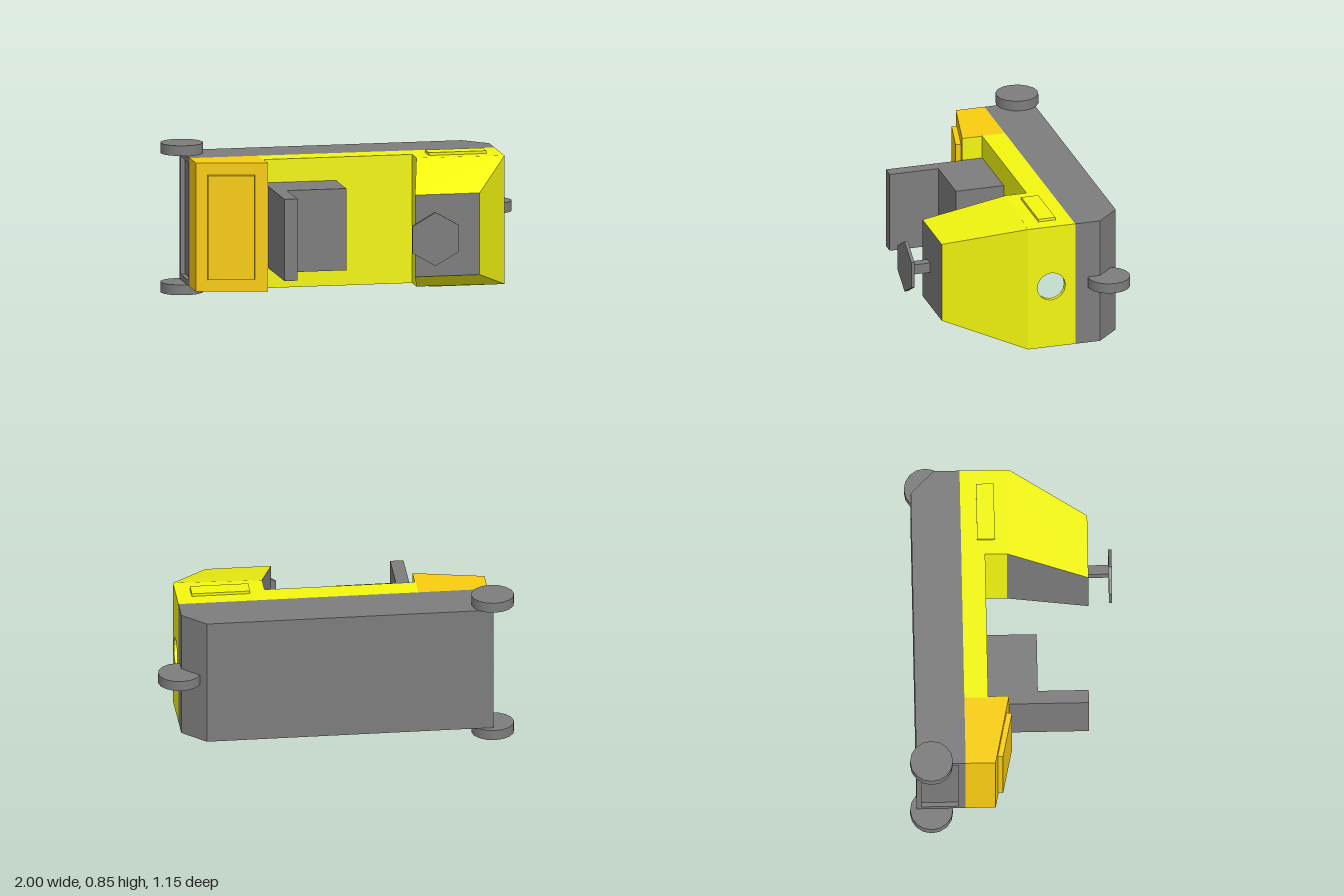
import * as THREE from 'three';

const GREY = 0x7d7d7d, YELLOW = 0xf3f70f, ORANGE = 0xfacd10, GLASS = 0xd8f3e6;
const Y0 = 0.06, Y1 = 0.788, MID = 0.425; // body sides and centre line
const SEAM = -0.265, NOSE = 0.864, TAIL = -0.875; // chassis joint, body ends

export function createModel() {
  const model = new THREE.Group();

  const add = (name, geometry, color, flatShading = true) => {
    const mesh = new THREE.Mesh(geometry, new THREE.MeshStandardMaterial({ color, flatShading }));
    mesh.name = name;
    model.add(mesh);
    return mesh;
  };

  // [x, z] outline extruded along y
  const prism = (name, points, y0, y1, color) => {
    const shape = new THREE.Shape(points.map(([x, z]) => new THREE.Vector2(x, -z)));
    const g = new THREE.ExtrudeGeometry(shape, { depth: y1 - y0, bevelEnabled: false });
    g.rotateX(-Math.PI / 2).translate(0, y0, 0);
    add(name, g, color);
  };

  const box = (name, x0, x1, y0, y1, z0, z1, color) =>
    add(name, new THREE.BoxGeometry(x1 - x0, y1 - y0, z1 - z0), color)
      .position.set((x0 + x1) / 2, (y0 + y1) / 2, (z0 + z1) / 2);

  // End plate across the body with an opening, extruded along x
  const endPlate = (name, z0, z1, x0, x1, hole, color) => {
    const shape = new THREE.Shape([[-z1, Y0], [-z0, Y0], [-z0, Y1], [-z1, Y1]].map(p => new THREE.Vector2(...p)));
    shape.holes.push(hole);
    const g = new THREE.ExtrudeGeometry(shape, { depth: x1 - x0, bevelEnabled: false, curveSegments: 8 });
    g.rotateY(Math.PI / 2).translate(x0, 0, 0);
    add(name, g, color);
  };

  // Chassis with chamfered nose and recessed tail panel
  prism('chassis', [[-0.85, -0.54], [0.735, -0.54], [NOSE, -0.41], [NOSE, SEAM], [-0.85, SEAM]], Y0, Y1, GREY);
  const slot = new THREE.Path([[0.305, 0.09], [0.305, 0.758], [0.512, 0.758], [0.512, 0.09]].map(p => new THREE.Vector2(...p)));
  endPlate('tailFrame', -0.54, SEAM, TAIL, -0.85, slot, GREY);

  // Deck, rear engine housing and its cover
  box('deck', -0.48, 0.365, Y0, Y1, SEAM, -0.132, YELLOW);
  prism('engineHousing', [[TAIL, SEAM], [-0.485, SEAM], [-0.485, -0.016], [TAIL, -0.098]], Y0, Y1, ORANGE);
  prism('housingFrontPanel', [[-0.485, SEAM], [-0.48, SEAM], [-0.48, -0.015], [-0.485, -0.016]], Y0, Y1, YELLOW);
  prism('engineCover', [[-0.81, -0.095], [-0.55, -0.04], [-0.56, 0], [-0.815, -0.055]], 0.13, 0.72, ORANGE);

  // Nose base with a round lamp opening
  prism('noseBase', [[0.365, SEAM], [0.83, SEAM], [0.83, 0.009], [0.365, -0.01]], Y0, Y1, YELLOW);
  const lampHole = new THREE.Path().absarc(0.126, MID, 0.082, 0, Math.PI * 2, true);
  endPlate('lampPlate', SEAM, 0.01, 0.83, NOSE, lampHole, YELLOW);
  const lamp = add('headlamp', new THREE.CircleGeometry(0.083, 16), GLASS);
  lamp.rotation.y = Math.PI / 2;
  lamp.position.set(0.84, MID, -0.126);

  // Tapered nose: yellow shell, grey dashboard and front cap
  const base = [[0.365, Y0, -0.01], [NOSE, Y0, 0.01], [NOSE, Y1, 0.01], [0.365, Y1, -0.01]];
  const tip = [[0.262, 0.193, 0.443], [0.631, 0.193, 0.443], [0.631, 0.656, 0.443], [0.262, 0.656, 0.443]];
  const quad = (name, [a, b, c, d], color) => {
    const g = new THREE.BufferGeometry();
    g.setAttribute('position', new THREE.Float32BufferAttribute([a, b, c, a, c, d].flat(), 3));
    g.computeVertexNormals();
    add(name, g, color).material.side = THREE.DoubleSide;
  };
  ['noseRightSide', 'noseFront', 'noseLeftSide', 'dashboard'].forEach((name, i) => {
    const j = (i + 1) % 4;
    quad(name, [base[i], base[j], tip[j], tip[i]], i === 3 ? GREY : YELLOW);
  });
  quad('noseCap', tip, GREY);

  // Raised panels on both flanks
  box('flankPanel', 0.45, 0.778, Y1 - 0.01, 0.804, -0.175, -0.076, YELLOW);
  box('flankPanel', 0.45, 0.778, 0.045, Y0 + 0.01, -0.175, -0.076, YELLOW);

  // Seat with backrest
  prism('seat', [[-0.48, -0.132], [-0.068, -0.132], [-0.068, 0.147], [-0.405, 0.147], [-0.405, 0.431], [-0.48, 0.431]],
    0.193, 0.656, GREY);

  // Steering column and six-sided wheel
  box('steeringColumn', 0.355, 0.409, 0.395, 0.453, 0.43, 0.56, GREY);
  const steering = add('steeringWheel', new THREE.CylinderGeometry(0.152, 0.152, 0.018, 6), GREY);
  steering.rotation.x = Math.PI / 2;
  steering.position.set(0.352, MID, 0.566);

  // Two rear wheels and one centred front wheel
  for (const [name, x, y] of [['rearWheel', -0.88, 0.029], ['rearWheel', -0.88, 0.817], ['frontWheel', 0.88, 0.428]]) {
    add(name, new THREE.CylinderGeometry(0.12, 0.12, 0.058, 16), GREY, false).position.set(x, y, -0.456);
  }

  return model;
}
